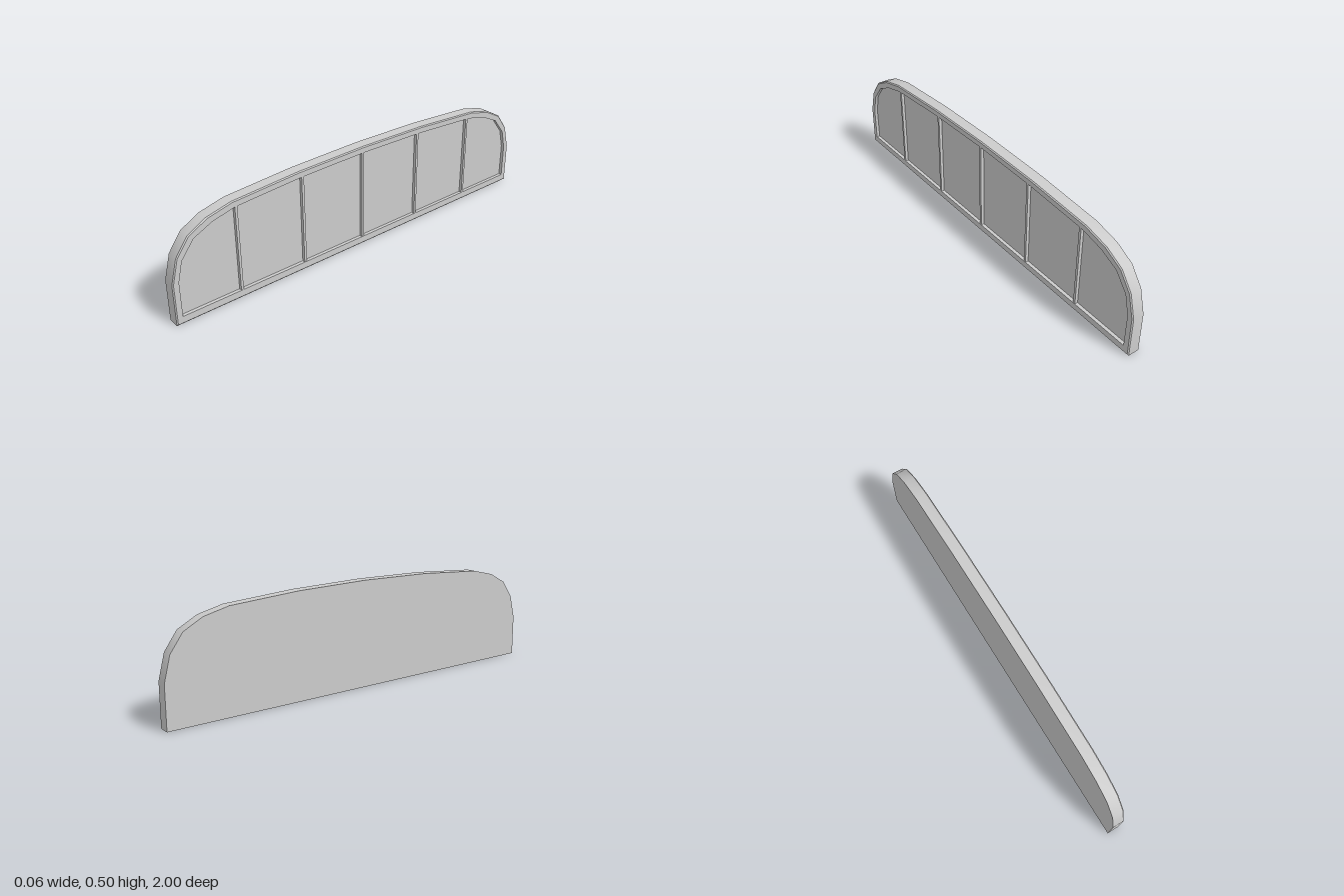
import * as THREE from 'three';
import { toCreasedNormals } from 'three/addons/utils/BufferGeometryUtils.js';

const BACK = -0.03, PANEL = 0.012, SHOULDER = 0.023, FACE = 0.028;

// Right half of an outline, bottom corner to crown, mirrored to a closed counter-clockwise loop
function mirrorLoop(half) {
  const left = half.slice(0, -1).reverse().map(([u, y]) => [-u, y]);
  return [...half, ...left].map(([u, y]) => new THREE.Vector2(u, y));
}
const outer = mirrorLoop([[1, 0], [1, 0.2], [0.97, 0.315], [0.91, 0.398], [0.82, 0.447],
  [0.7, 0.476], [0.36, 0.498], [0, 0.505]]);
const inner = mirrorLoop([[0.97, 0.037], [0.97, 0.203], [0.947, 0.297], [0.885, 0.377], [0.795, 0.42],
  [0.685, 0.447], [0.35, 0.468], [0, 0.475]]);
const chamfer = outer.map((p, i) => p.clone().lerp(inner[i], 0.16));

// Skin between successive [loop, depth] rings
function skin(rings) {
  const pos = [], n = outer.length;
  for (let r = 0; r < rings.length - 1; r++) {
    const [l0, d0] = rings[r], [l1, d1] = rings[r + 1];
    for (let i = 0; i < n; i++) {
      const j = (i + 1) % n;
      const a = [l0[i].x, l0[i].y, d0], b = [l0[j].x, l0[j].y, d0];
      const c = [l1[j].x, l1[j].y, d1], d = [l1[i].x, l1[i].y, d1];
      pos.push(...a, ...b, ...c, ...a, ...c, ...d);
    }
  }
  const g = new THREE.BufferGeometry();
  g.setAttribute('position', new THREE.Float32BufferAttribute(pos, 3));
  return toCreasedNormals(g, 0.5);
}

export function createModel() {
  const model = new THREE.Group();
  model.name = 'archedPanel';
  const grey = new THREE.MeshStandardMaterial({ color: 0xcccccc });
  grey.name = 'light grey';
  const add = (geometry, name) => {
    geometry.rotateY(Math.PI / 2); // drawn facing +z, turned to face +x
    const mesh = new THREE.Mesh(geometry, grey);
    mesh.name = name;
    model.add(mesh);
  };

  // Rim: outer edge, small chamfer, front border and recess wall
  add(skin([[outer, BACK], [outer, SHOULDER], [chamfer, FACE], [inner, FACE], [inner, PANEL]]), 'frame');

  // Recessed panel
  add(new THREE.ShapeGeometry(new THREE.Shape(inner)).translate(0, 0, PANEL), 'recessedPanel');

  // Flat back
  const back = new THREE.ShapeGeometry(new THREE.Shape(outer.map((p) => new THREE.Vector2(-p.x, p.y)).reverse()));
  add(back.rotateY(Math.PI).translate(0, 0, BACK), 'backPanel');

  // Upright bars dividing the recess
  [[-0.68, 0.447], [-0.342, 0.468], [-0.005, 0.475], [0.332, 0.468], [0.668, 0.447]].forEach(([u, top], i) => {
    const bottom = 0.034, height = top + 0.004 - bottom, depth = FACE - 0.001 - PANEL;
    const bar = new THREE.BoxGeometry(0.012, height, depth);
    add(bar.translate(u, bottom + height / 2, PANEL + depth / 2), `divider${i + 1}`);
  });
  return model;
}
